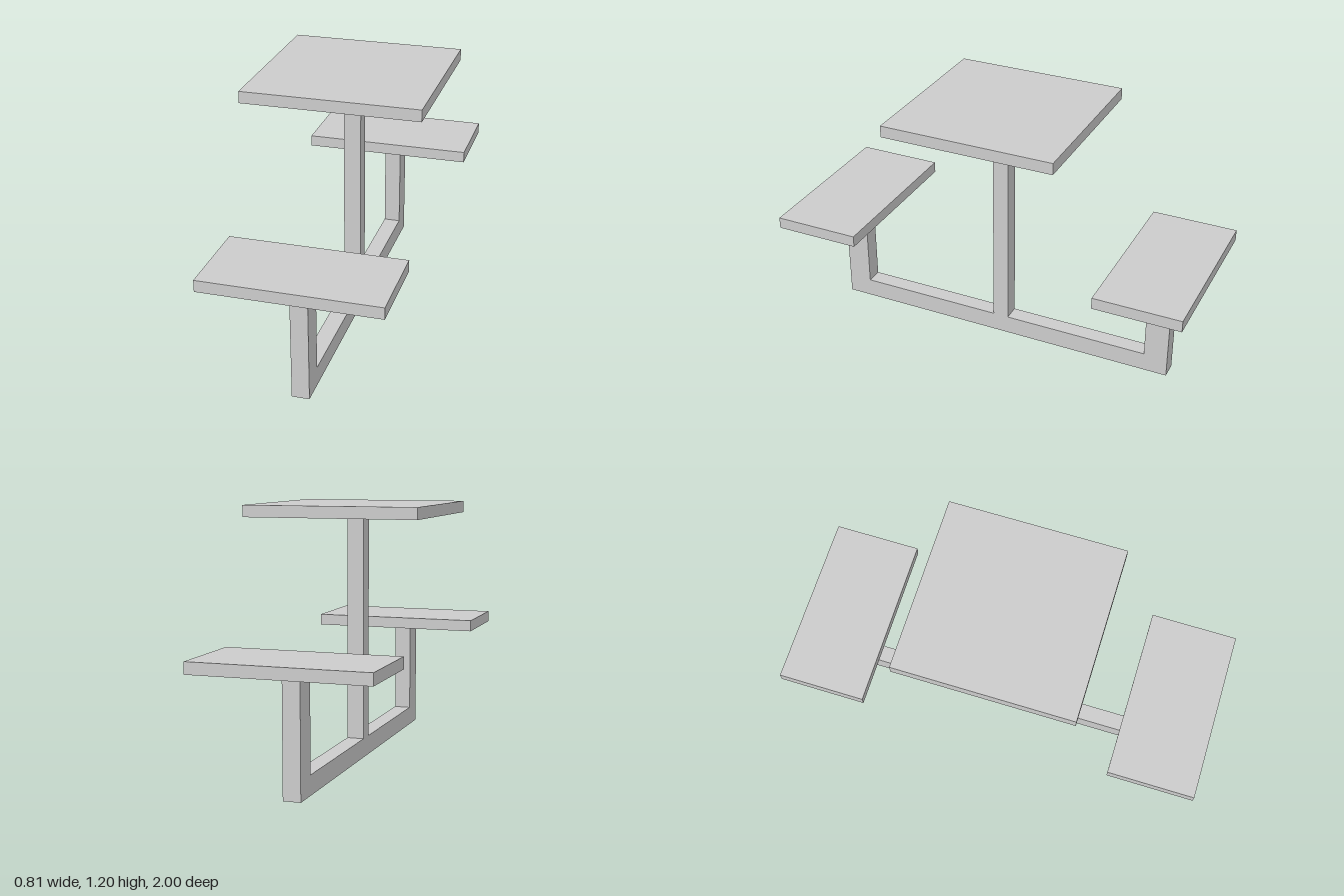
import * as THREE from 'three';

export function createModel() {
  const group = new THREE.Group();
  group.name = 'picnicTable';
  const material = new THREE.MeshStandardMaterial({ color: 0xcccccc, flatShading: true });

  const add = (name, geometry) => {
    const mesh = new THREE.Mesh(geometry, material);
    mesh.name = name;
    group.add(mesh);
  };

  // Flat slab spanning z0..z1 with its upper face at the given height
  const thickness = 0.054;
  const slab = (name, z0, z1, top) => {
    const geometry = new THREE.BoxGeometry(0.808, thickness, z1 - z0);
    geometry.translate(0, top - thickness / 2, (z0 + z1) / 2);
    add(name, geometry);
  };

  // Table top and the two benches
  const tableHeight = 1.2, seatHeight = 0.591;
  slab('tableTop', -0.4, 0.413, tableHeight);
  slab('frontSeat', 0.592, 1, seatHeight);
  slab('backSeat', -1, -0.592, seatHeight);

  // Support frame: base beam, seat posts and central column in one side profile (z, y)
  const base = 0.09, seatY = seatHeight - thickness, tableY = tableHeight - thickness;
  const profile = [
    [-0.844, 0], [0.862, 0], [0.862, seatY], [0.748, seatY], [0.748, base],
    [0.048, base], [0.048, tableY], [-0.028, tableY], [-0.028, base],
    [-0.73, base], [-0.73, seatY], [-0.844, seatY],
  ].map(([z, y]) => new THREE.Vector2(z, y));
  const width = 0.08;
  const frame = new THREE.ExtrudeGeometry(new THREE.Shape(profile), { depth: width, bevelEnabled: false });
  frame.translate(0, 0, -width / 2);
  frame.rotateY(-Math.PI / 2);
  add('supportFrame', frame);

  return group;
}
